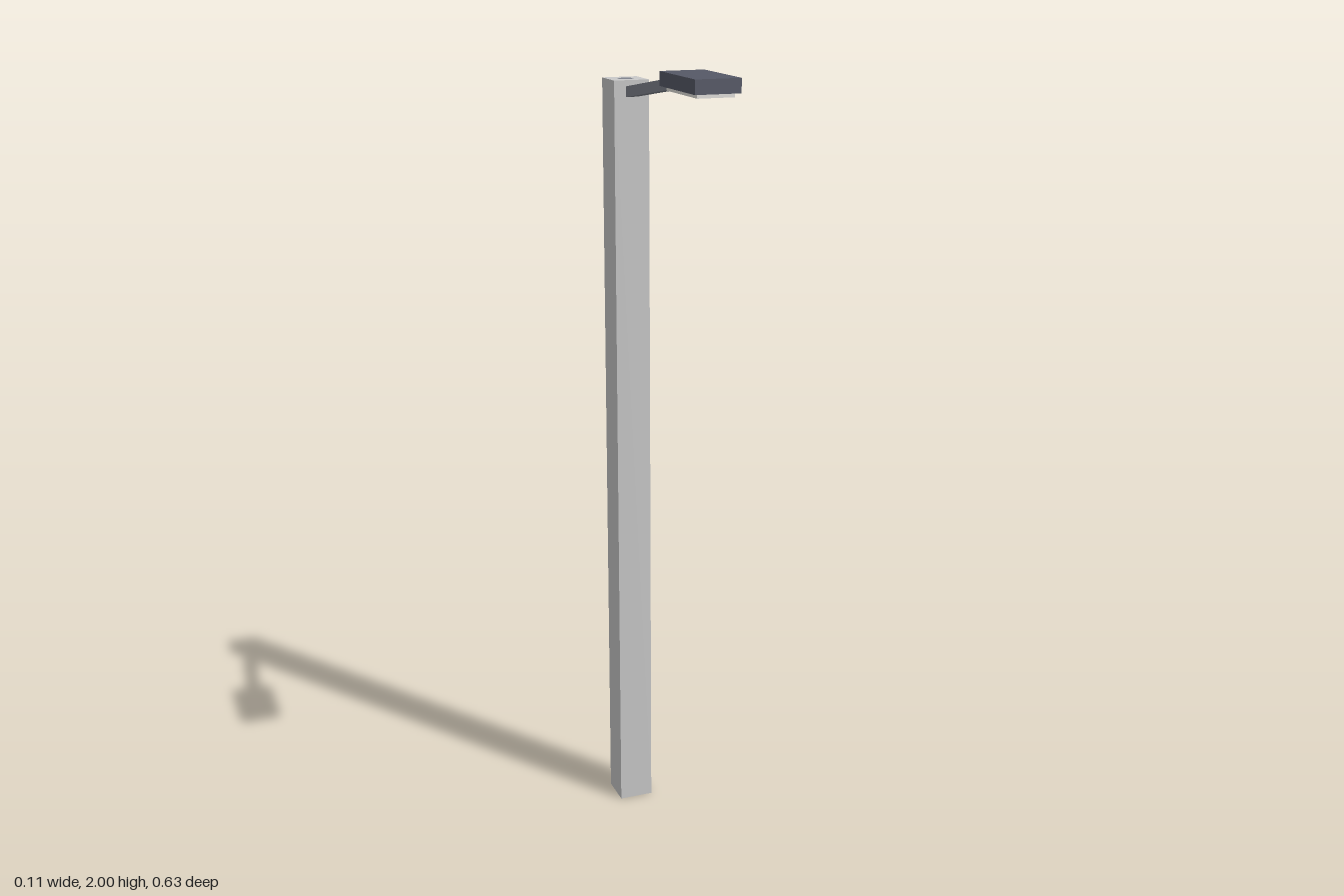
import * as THREE from 'three';

export function createModel() {
  const model = new THREE.Group();
  model.name = 'streetLamp';

  const mat = (name, color) => {
    const m = new THREE.MeshStandardMaterial({ color, flatShading: true });
    m.name = name;
    return m;
  };
  const concrete = mat('concreteGrey', 0xc9c9c9);
  const steel = mat('steelGrey', 0x7f838c);
  const housing = mat('darkSlate', 0x565967);
  const glass = mat('paleGlass', 0xe2e0dc);

  const add = (name, geometry, material, x, y, z) => {
    const mesh = new THREE.Mesh(geometry, material);
    mesh.name = name;
    mesh.position.set(x, y, z);
    model.add(mesh);
    return mesh;
  };

  const postZ = -0.271, half = 0.0445, postHeight = 1.95, coreRadius = 0.02;

  // Square post with a bore running through it
  const section = new THREE.Shape([
    new THREE.Vector2(-half, -half), new THREE.Vector2(half, -half),
    new THREE.Vector2(half, half), new THREE.Vector2(-half, half),
  ]);
  const bore = [];
  for (let i = 0; i < 12; i++) {
    const a = (i / 12) * Math.PI * 2;
    bore.push(new THREE.Vector2(Math.cos(a) * coreRadius, Math.sin(a) * coreRadius));
  }
  section.holes.push(new THREE.Path(bore));
  const postGeometry = new THREE.ExtrudeGeometry(section, { depth: postHeight, bevelEnabled: false });
  postGeometry.rotateX(-Math.PI / 2);
  add('post', postGeometry, concrete, 0, 0, postZ);

  // Steel core filling the bore, flush at both ends
  add('postCore', new THREE.CylinderGeometry(coreRadius, coreRadius, postHeight, 12), steel, 0, postHeight / 2, postZ);

  // Arm rising from the post into the lamp head
  const start = new THREE.Vector3(0, 1.918, -0.26);
  const end = new THREE.Vector3(0, 1.979, 0.14);
  const middle = start.clone().add(end).multiplyScalar(0.5);
  const arm = add('arm', new THREE.BoxGeometry(0.028, 0.025, start.distanceTo(end)), steel, middle.x, middle.y, middle.z);
  arm.rotation.x = -Math.atan2(end.y - start.y, end.z - start.z);

  // Lamp head with an inset light panel below
  add('lampHead', new THREE.BoxGeometry(0.106, 0.032, 0.21), housing, 0, 1.984, 0.21);
  add('lightPanel', new THREE.BoxGeometry(0.086, 0.01, 0.18), glass, 0, 1.964, 0.212);

  return model;
}
